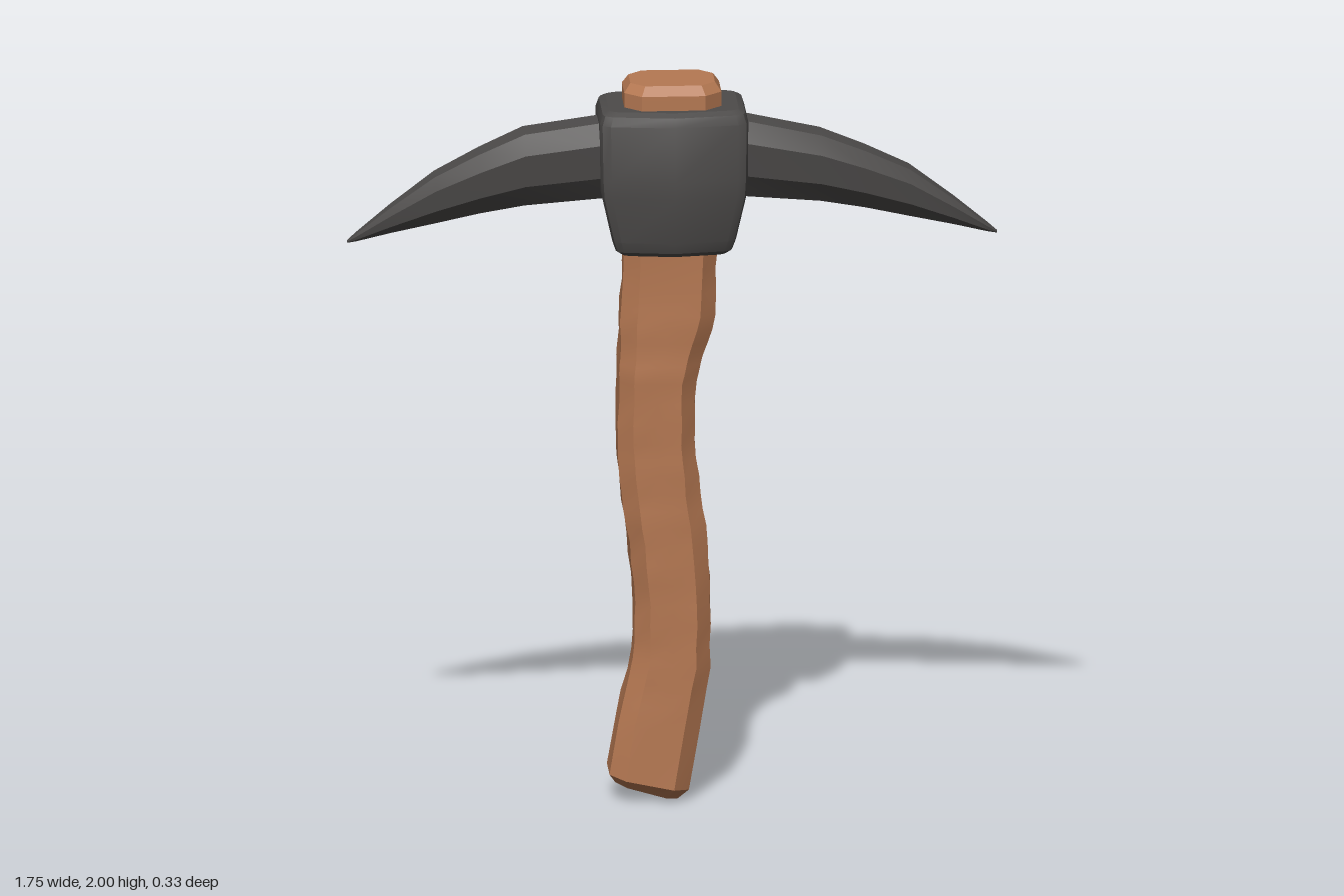
import * as THREE from 'three';
import { toCreasedNormals } from 'three/addons/utils/BufferGeometryUtils.js';

// Skin a list of rings (each counter-clockwise around the travel direction) and cap both ends
function loft(rings, crease = 0.5) {
  const n = rings[0].length;
  const pos = rings.flat(2);
  const index = [];
  for (let i = 0; i < rings.length - 1; i++) {
    for (let j = 0; j < n; j++) {
      const a = i * n + j, b = i * n + (j + 1) % n;
      index.push(a, b, b + n, a, b + n, a + n);
    }
  }
  const cap = (ring, base, flip) => {
    const centre = pos.length / 3;
    for (let k = 0; k < 3; k++) pos.push(ring.reduce((s, p) => s + p[k], 0) / n);
    for (let j = 0; j < n; j++) {
      const a = base + j, b = base + (j + 1) % n;
      index.push(centre, flip ? b : a, flip ? a : b);
    }
  };
  cap(rings[0], 0, true);
  cap(rings[rings.length - 1], (rings.length - 1) * n, false);
  const geo = new THREE.BufferGeometry();
  geo.setAttribute('position', new THREE.Float32BufferAttribute(pos, 3));
  geo.setIndex(index);
  return toCreasedNormals(geo, crease);
}

// Chamfered-rectangle ring of the handle, its ends tilted between yL and yR
function handleRing([xL, yL, xR, yR, hz, c], wobble) {
  const cx = (xL + xR) / 2, hx = (xR - xL) / 2;
  const quarter = [[0, hz], [hx - c, hz], [hx, hz - c], [hx, 0], [hx, c - hz], [hx - c, -hz]];
  const half = quarter.concat(quarter.map(([x, z]) => [-x, -z]));
  return half.map(([x, z], j) => {
    const y = yL + (yR - yL) * (x + hx) / (2 * hx);
    // Shallow carved dents
    const d = 1 - wobble * (0.5 + 0.5 * Math.sin(y * 17 + j * 2.3) * Math.cos(y * 29 - j * 1.7));
    return [cx + x * d, y, z * d];
  });
}

function handleGeometry() {
  // xL, yL, xR, yR, half depth, chamfer
  const stations = [
    [-0.155, 0.048, 0.012, 0.0, 0.07, 0.03],
    [-0.172, 0.075, 0.042, 0.03, 0.102, 0.042],
    [-0.15, 0.22, 0.072, 0.19, 0.1, 0.042],
    [-0.11, 0.4, 0.103, 0.37, 0.096, 0.042],
    [-0.107, 0.55, 0.106, 0.55, 0.095, 0.042],
    [-0.122, 0.72, 0.096, 0.72, 0.096, 0.042],
    [-0.143, 0.86, 0.076, 0.86, 0.097, 0.042],
    [-0.155, 1.0, 0.063, 1.0, 0.097, 0.042],
    [-0.15, 1.17, 0.066, 1.17, 0.097, 0.042],
    [-0.146, 1.24, 0.085, 1.24, 0.096, 0.042],
    [-0.143, 1.38, 0.117, 1.35, 0.095, 0.042],
    [-0.133, 1.55, 0.122, 1.55, 0.092, 0.042],
    [-0.132, 1.85, 0.13, 1.85, 0.1, 0.045],
    [-0.132, 1.975, 0.13, 1.975, 0.1, 0.045],
    [-0.115, 2.0, 0.113, 2.0, 0.082, 0.038],
  ];
  const rings = [];
  const steps = 3;
  stations.forEach((s, i) => {
    const next = stations[i + 1];
    const shaft = i > 1 && i < 11;
    const count = next && shaft ? steps : 1;
    for (let k = 0; k < count; k++) {
      const mixed = next ? s.map((v, m) => v + (next[m] - v) * k / count) : s;
      rings.push(handleRing(mixed, shaft ? 0.07 : 0));
    }
  });
  return loft(rings, 0.55);
}

// Block around the handle with a ridge down the front and the back
function headGeometry() {
  // y, half width, depth at the ridge
  const stations = [
    [1.532, 0.14, 0.118], [1.545, 0.157, 0.135], [1.575, 0.167, 0.147],
    [1.7, 0.195, 0.163], [1.75, 0.198, 0.165], [1.9, 0.2, 0.153],
    [1.925, 0.192, 0.143], [1.935, 0.175, 0.125],
  ];
  return loft(stations.map(([y, w, d]) => {
    const side = [[0, d], [w * 0.86, d * 0.84], [w * 0.97, d * 0.76], [w, d * 0.64],
      [w, -d * 0.64], [w * 0.97, -d * 0.76], [w * 0.86, -d * 0.84]];
    const other = side.slice(1).map(([x, z]) => [-x, -z]);
    return [...side, [0, -d], ...other].map(([x, z]) => [x, y, z]);
  }), 0.45);
}

// Curved pick arm tapering to a point, side is 1 or -1
function armGeometry(side, shoulder) {
  // distance, underside, top, half depth
  const stations = [
    [0.1, 1.675, 1.9, 0.09], [0.2, 1.674, 1.888, 0.09], [0.4, 1.658, shoulder, 0.09],
    [0.52, 1.637, (shoulder + 1.745) / 2 + 0.003, 0.08], [0.64, 1.61, 1.743, 0.066],
    [0.76, 1.583, 1.655, 0.042], [0.85, 1.56, 1.583, 0.02], [0.876, 1.555, 1.561, 0.008],
  ];
  // height fraction, depth fraction
  const section = [[1, 0.5], [0.76, 1], [0.32, 0.86], [0, 0.3]];
  const outline = section.concat(section.map(([v, z]) => [v, -z]).reverse());
  return loft(stations.map(([x, bottom, top, hz]) => {
    const ring = outline.map(([v, z]) => [side * x, bottom + (top - bottom) * v, z * hz]);
    return side > 0 ? ring : ring.reverse();
  }), 0.4);
}

export function createModel() {
  const wood = new THREE.MeshStandardMaterial({ color: 0xb57852 });
  wood.name = 'wood';
  const iron = new THREE.MeshStandardMaterial({ color: 0x4d4b4a });
  iron.name = 'dark iron';

  const model = new THREE.Group();
  model.name = 'pickaxe';
  const add = (name, geometry, material) => {
    const mesh = new THREE.Mesh(geometry, material);
    mesh.name = name;
    model.add(mesh);
  };
  add('handle', handleGeometry(), wood);
  add('headBlock', headGeometry(), iron);
  add('leftArm', armGeometry(1, 1.845), iron);
  add('rightArm', armGeometry(-1, 1.86), iron);
  return model;
}
